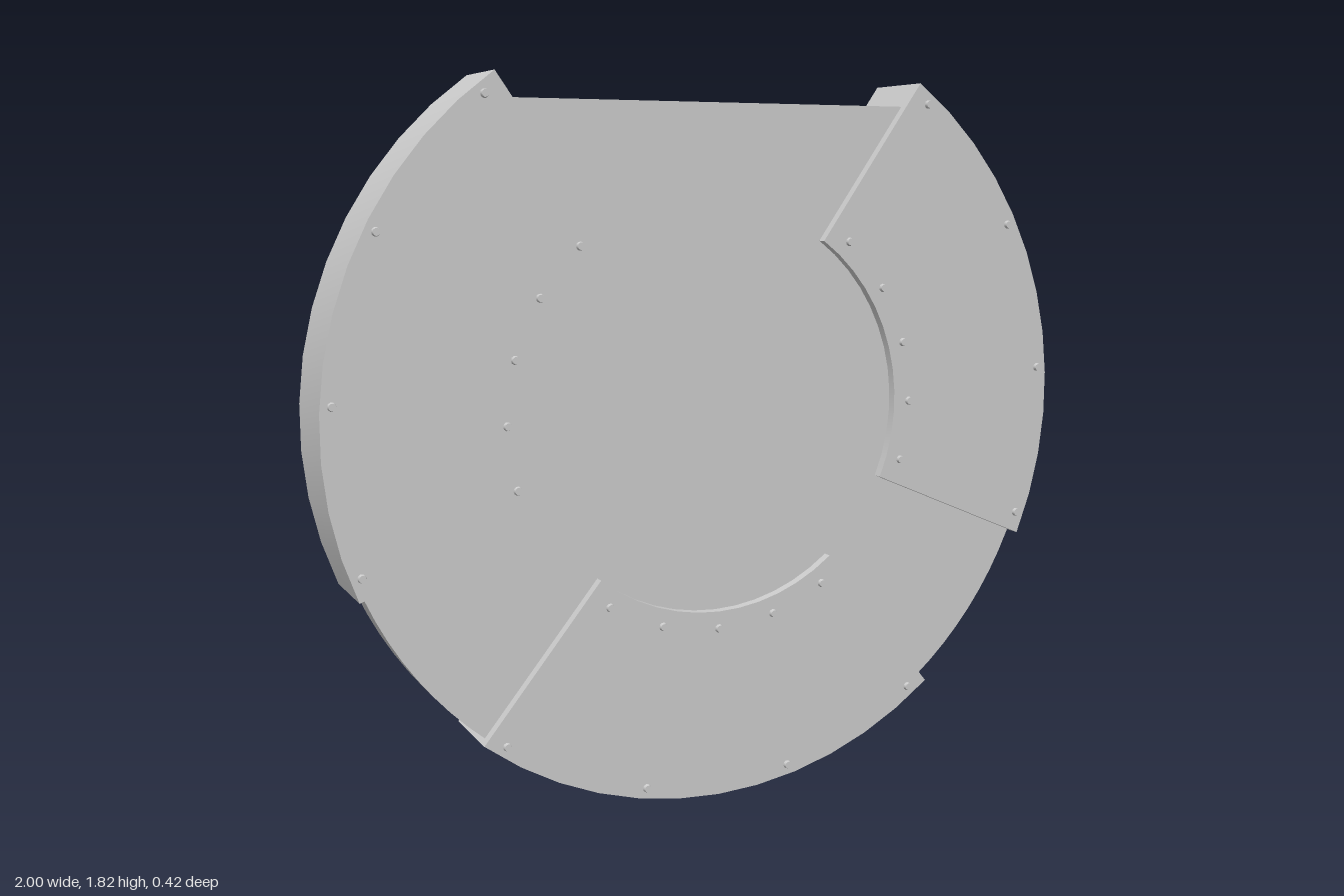
import * as THREE from 'three';
import { toCreasedNormals } from 'three/addons/utils/BufferGeometryUtils.js';
import { ConvexGeometry } from 'three/addons/geometries/ConvexGeometry.js';

const mat = new THREE.MeshStandardMaterial({ color: 0xcccccc });
const DEG = Math.PI / 180;
const SEG = 12;
const FRONT = 0.205, BACK = -0.005;

function add(parent, name, geometry) {
  const mesh = new THREE.Mesh(geometry, mat);
  mesh.name = name;
  parent.add(mesh);
  return mesh;
}

// Ring-sector outline, counter-clockwise, sides moved in parallel by `inset`
function sectorLoop(r0, r1, half, inset, z) {
  const pts = [];
  const arc = (r, dir) => {
    const a = half - Math.asin(inset / r);
    for (let i = 0; i <= SEG; i++) {
      const t = dir * a * (2 * i / SEG - 1);
      pts.push([r * Math.cos(t), r * Math.sin(t), z]);
    }
  };
  arc(r1, 1);
  arc(r0, -1);
  return pts;
}

// Thick sector panel with a sloping pocket in its back
function panelGeometry() {
  const half = 39 * DEG;
  const loops = [
    sectorLoop(0.513, 1, half, 0, FRONT),
    sectorLoop(0.513, 1, half, 0, BACK),
    sectorLoop(0.62, 0.93, half, 0.075, BACK),
    sectorLoop(0.665, 0.895, half, 0.125, 0.08),
  ];
  const pos = [];
  const quad = (a, b, c, d) => pos.push(...a, ...b, ...c, ...a, ...c, ...d);
  const n = loops[0].length;
  for (let k = 0; k < 3; k++) {
    for (let i = 0; i < n; i++) {
      const j = (i + 1) % n;
      quad(loops[k][i], loops[k + 1][i], loops[k + 1][j], loops[k][j]);
    }
  }
  for (let i = 0; i < SEG; i++) {
    const f = loops[0], b = loops[3], o = n - 1 - i;
    quad(f[i], f[i + 1], f[o - 1], f[o]);
    quad(b[i], b[o], b[o - 1], b[i + 1]);
  }
  const g = new THREE.BufferGeometry();
  g.setAttribute('position', new THREE.Float32BufferAttribute(pos, 3));
  return toCreasedNormals(g, 25 * DEG);
}

// Revolved part: profile of [radius, height], height pointing to the back
function turned(profile, sides = 48) {
  const g = new THREE.LatheGeometry(profile.map(p => new THREE.Vector2(...p)), sides);
  g.rotateX(-Math.PI / 2);
  return toCreasedNormals(g, 28 * DEG);
}

// Tapered radial fin from a profile of [radius, height, halfWidth, sideShift]
function fin(profile) {
  const pts = [];
  for (const [r, h, w, s = 0] of profile) {
    pts.push(new THREE.Vector3(r, s - w, -h), new THREE.Vector3(r, s + w, -h));
  }
  return new ConvexGeometry(pts);
}

export function createModel() {
  const model = new THREE.Group();
  model.name = 'roundShield';
  const disc = new THREE.Group();
  disc.name = 'disc';
  disc.position.y = 1;
  model.add(disc);

  // Core plate: a disc cut flat at the top
  const cut = Math.asin(0.76 / 0.985);
  const outline = new THREE.Shape();
  outline.absarc(0, 0, 0.985, Math.PI - cut, Math.PI * 2 + cut, false);
  outline.closePath();
  const plate = new THREE.ExtrudeGeometry(outline, { depth: 0.08, bevelEnabled: false, curveSegments: 40 });
  plate.translate(0, 0, 0.1);
  add(disc, 'corePlate', toCreasedNormals(plate, 25 * DEG));

  // Three armour panels with rivets on both faces
  const panelGeo = panelGeometry();
  const rivetGeo = new THREE.CylinderGeometry(0.009, 0.013, 0.016, 10);
  rivetGeo.rotateX(Math.PI / 2);
  const rivetSpots = [];
  for (const a of [-36, -12, 12, 36]) rivetSpots.push([0.972, a]);
  for (const a of [-32.5, -16.25, 0, 16.25, 32.5]) rivetSpots.push([0.557, a]);
  [['leftPanel', 16], ['rightPanel', 164], ['bottomPanel', -90]].forEach(([name, angle]) => {
    const group = new THREE.Group();
    group.name = name;
    group.rotation.z = angle * DEG;
    disc.add(group);
    add(group, 'panelBody', panelGeo);
    for (const [r, a] of rivetSpots) {
      const x = r * Math.cos(a * DEG), y = r * Math.sin(a * DEG);
      add(group, 'frontRivet', rivetGeo).position.set(x, y, FRONT);
      const back = add(group, 'backRivet', rivetGeo);
      back.position.set(x, y, BACK);
      back.rotation.y = Math.PI;
    }
  });

  // Domed hub on the back
  add(disc, 'hubDome', turned([
    [0.512, -0.1], [0.512, 0], [0.485, 0.035], [0.44, 0.078],
    [0.385, 0.115], [0.325, 0.143], [0.27, 0.158], [0.22, 0.163],
  ]));

  // Eight tapered ribs around the dome
  const ribGeo = fin([
    [0.525, 0, 0.052], [0.505, 0.085, 0.045], [0.375, 0.183, 0.03],
    [0.325, 0.183, 0.03], [0.3, 0.11, 0.045], [0.44, -0.02, 0.052],
  ]);
  for (let i = 0; i < 8; i++) {
    add(disc, 'hubRib', ribGeo).rotation.z = (i * 45 - 4) * DEG;
  }

  // Raised collar with a recessed socket
  add(disc, 'hubCollar', turned([
    [0.235, 0.145], [0.247, 0.155], [0.247, 0.195], [0.237, 0.205],
    [0.21, 0.205], [0.19, 0.165], [0.185, 0.11], [0, 0.11],
  ]));

  // Centre boss ringed by slanted blades
  add(disc, 'centreBoss', turned([
    [0.15, 0.105], [0.125, 0.15], [0.108, 0.195], [0.1, 0.21],
    [0.088, 0.21], [0.082, 0.203], [0, 0.203],
  ], 32));
  const bladeGeo = fin([
    [0.098, 0.203, 0.004], [0.125, 0.2, 0.005, 0.008], [0.168, 0.165, 0.006, 0.02],
    [0.18, 0.105, 0.008, 0.02], [0.11, 0.105, 0.008],
  ]);
  for (let i = 0; i < 20; i++) {
    add(disc, 'bossBlade', bladeGeo).rotation.z = i * 18 * DEG;
  }

  return model;
}
